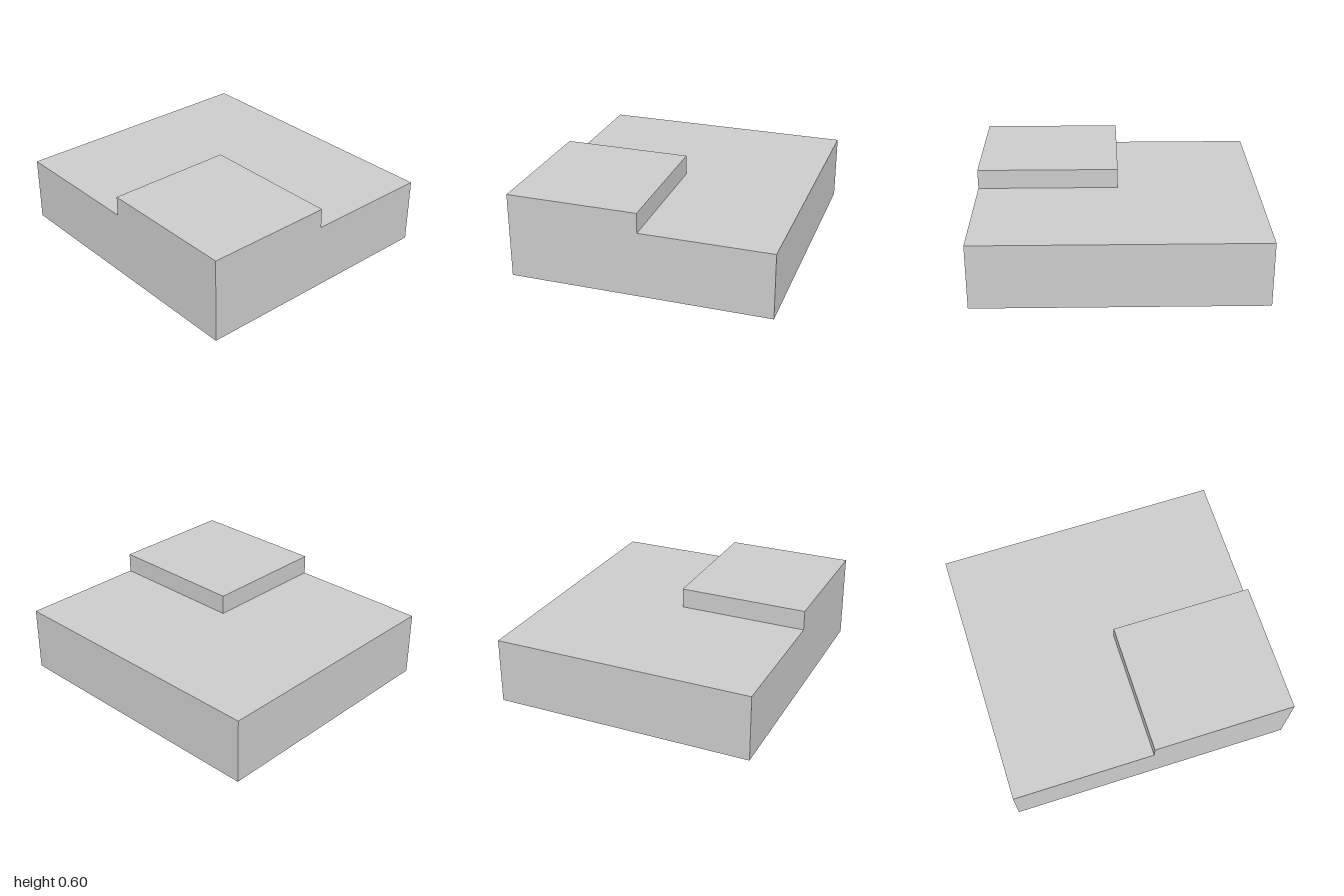
import * as THREE from 'three';

const WIDTH = 2, DEPTH = 1.82, BASE_HEIGHT = 0.46, TOP = 0.6;

export function createModel() {
  const model = new THREE.Group();
  model.name = 'steppedSlab';
  const material = new THREE.MeshStandardMaterial({ color: 0xcccccc, flatShading: true });

  // Box standing on height y, centred on x and z
  const addBlock = (name, w, h, d, x, y, z) => {
    const mesh = new THREE.Mesh(new THREE.BoxGeometry(w, h, d), material);
    mesh.name = name;
    mesh.position.set(x, y + h / 2, z);
    model.add(mesh);
  };

  // Full slab
  addBlock('baseSlab', WIDTH, BASE_HEIGHT, DEPTH, 0, 0, 0);
  // Raised quarter, flush with the front and left sides
  addBlock('raisedQuarter', WIDTH / 2, TOP - BASE_HEIGHT, DEPTH / 2, WIDTH / 4, BASE_HEIGHT, DEPTH / 4);

  return model;
}
